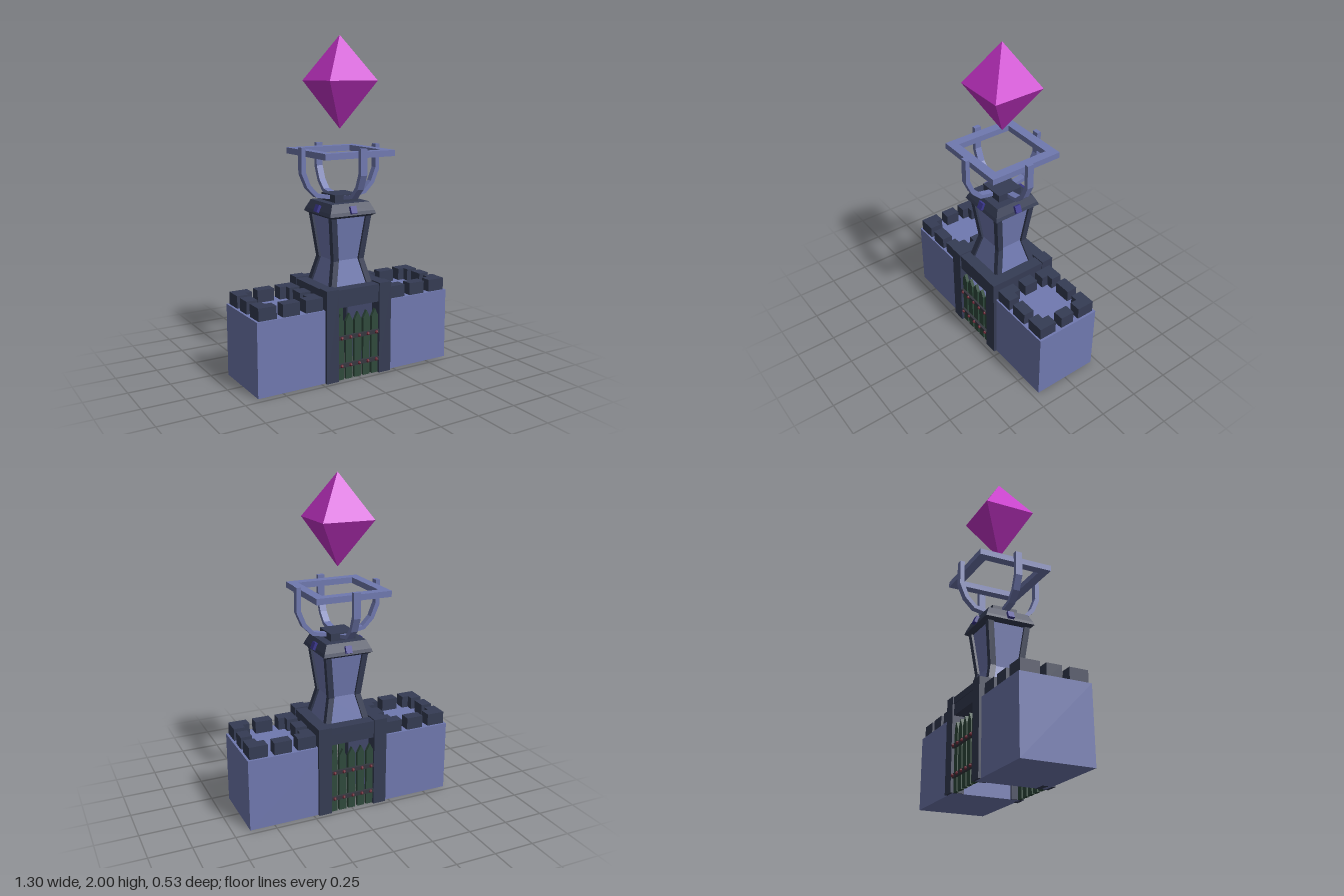
import * as THREE from 'three';

const mat = (color) => new THREE.MeshStandardMaterial({ color, flatShading: true });
const stone = mat(0x7079b0), dark = mat(0x353c54), wood = mat(0x2f4a3c),
  railMat = mat(0x35373f), rivetMat = mat(0x6e2a38), studMat = mat(0x3c3890), crystalMat = mat(0xc934cc);

function add(parent, name, geometry, material) {
  const mesh = new THREE.Mesh(geometry, material);
  mesh.name = name;
  parent.add(mesh);
  return mesh;
}

// Box given by its limits on each axis
function box(parent, name, material, x0, x1, y0, y1, z0, z1) {
  const g = new THREE.BoxGeometry(x1 - x0, y1 - y0, z1 - z0);
  g.translate((x0 + x1) / 2, (y0 + y1) / 2, (z0 + z1) / 2);
  return add(parent, name, g, material);
}

// Square solid of revolution from [halfWidth, y] pairs, bottom to top
function squareLoft(profile) {
  const pts = profile.map(([h, y]) => new THREE.Vector2(h * Math.SQRT2, y));
  return new THREE.LatheGeometry(pts, 4).rotateY(Math.PI / 4);
}

function polygon(points) {
  return new THREE.Shape(points.map(([x, y]) => new THREE.Vector2(x, y)));
}

// L-shaped corner merlon; sx, sz point towards the outside of the corner
function cornerMerlon(parent, x, z, sx, sz) {
  const w = 0.112, t = 0.07;
  const p = [[0, 0], [w, 0], [w, t], [t, t], [t, w], [0, w]].map(([a, b]) => [x - sx * a, -(z - sz * b)]);
  const g = new THREE.ExtrudeGeometry(polygon(p), { depth: 0.085, bevelEnabled: false });
  g.rotateX(-Math.PI / 2).translate(0, 0.43, 0);
  add(parent, 'cornerMerlon', g, dark);
}

function makeWall(s) {
  const wall = new THREE.Group();
  wall.name = s > 0 ? 'leftWall' : 'rightWall';
  const span = (name, m, a, b, ...rest) => box(wall, name, m, Math.min(s * a, s * b), Math.max(s * a, s * b), ...rest);
  span('wallBlock', stone, 0.15, 0.652, 0, 0.44, -0.212, 0.208);
  for (const sz of [1, -1]) {
    cornerMerlon(wall, s * 0.638, sz * 0.198, s, sz);
    cornerMerlon(wall, s * 0.23, sz * 0.198, -s, sz);
    const z = sz * 0.165;
    span('merlon', dark, 0.38, 0.487, 0.43, 0.515, z - 0.034, z + 0.034);
  }
  span('outerMerlon', dark, 0.57, 0.638, 0.43, 0.515, -0.048, 0.042);
  span('innerMerlon', dark, 0.225, 0.297, 0.43, 0.515, -0.048, 0.042);
  return wall;
}

// Picket gate with two riveted rails, facing +z
function makeGate() {
  const gate = new THREE.Group();
  gate.name = 'gate';
  for (let i = -2; i <= 2; i++) {
    const x = i * 0.06;
    const shape = polygon([[-0.023, 0], [0.023, 0], [0.023, 0.355], [0, 0.4], [-0.023, 0.355]]);
    const g = new THREE.ExtrudeGeometry(shape, { depth: 0.02, bevelEnabled: false });
    add(gate, 'picket', g.translate(x, 0, 0.19), wood);
    for (const y of [0.09, 0.26]) {
      const rivet = add(gate, 'rivet', new THREE.SphereGeometry(0.011, 6, 4), rivetMat);
      rivet.position.set(x, y, 0.226);
    }
  }
  for (const y of [0.09, 0.26])
    box(gate, 'rail', railMat, -0.145, 0.145, y - 0.012, y + 0.012, 0.208, 0.224);
  return gate;
}

// Four posts joined by beams, with a sunken roof floor
function makeGatehouse() {
  const house = new THREE.Group();
  house.name = 'gatehouse';
  for (const sx of [1, -1]) {
    for (const sz of [1, -1]) {
      const g = new THREE.BoxGeometry(0.082, 0.557, 0.08);
      add(house, 'post', g, dark).position.set(sx * 0.181, 0.2785, sz * 0.187);
    }
    box(house, 'sideBeam', dark, sx * 0.182 - 0.036, sx * 0.182 + 0.036, 0.44, 0.55, -0.15, 0.15);
    box(house, 'lintel', dark, -0.142, 0.142, 0.442, 0.512, sx * 0.182 - 0.035, sx * 0.182 + 0.035);
    box(house, 'upperBeam', dark, -0.142, 0.142, 0.51, 0.55, sx * 0.186 - 0.035, sx * 0.186 + 0.035);
  }
  box(house, 'roofFloor', dark, -0.15, 0.15, 0.455, 0.525, -0.155, 0.155);
  for (let i = 0; i < 2; i++) {
    const gate = makeGate();
    gate.rotation.y = i * Math.PI;
    house.add(gate);
  }
  return house;
}

// Waisted tower: pale core framed by dark corner ribs
function makeTower() {
  const tower = new THREE.Group();
  tower.name = 'tower';
  const levels = [[0.146, 0.52], [0.105, 0.69], [0.137, 0.96]];
  add(tower, 'towerCore', squareLoft(levels.map(([h, y]) => [h - 0.014, y])), stone);
  for (let k = 0; k < 4; k++) {
    const g = new THREE.BoxGeometry(1, 2, 1, 1, 2, 1), p = g.attributes.position;
    for (let i = 0; i < p.count; i++) {
      const [h, y] = levels[Math.round(p.getY(i)) + 1];
      p.setXYZ(i, h - (p.getX(i) > 0 ? 0 : 0.036), y, h - (p.getZ(i) > 0 ? 0 : 0.036));
    }
    add(tower, 'cornerRib', g, dark).rotation.y = k * Math.PI / 2;
  }
  const head = [[0, 0.95], [0.135, 0.95], [0.157, 0.965], [0.15, 0.985], [0.127, 1.035], [0, 1.035]];
  add(tower, 'towerHead', squareLoft(head), dark);
  box(tower, 'cap', dark, -0.08, 0.08, 1.03, 1.08, -0.08, 0.08);
  for (let k = 0; k < 4; k++) {
    const side = new THREE.Group();
    side.name = 'headSide';
    side.rotation.y = k * Math.PI / 2;
    const stud = add(side, 'stud', new THREE.BoxGeometry(0.04, 0.045, 0.03), studMat);
    stud.position.set(0, 0.995, 0.148);
    stud.rotation.x = -0.4;
    tower.add(side);
  }
  return tower;
}

// Four curved arms holding a square ring
function makeCradle() {
  const cradle = new THREE.Group();
  cradle.name = 'cradle';
  const arm = polygon([[0.06, 1.05], [0.085, 1.05], [0.17, 1.066], [0.23, 1.125], [0.267, 1.21], [0.267, 1.362],
    [0.24, 1.362], [0.24, 1.22], [0.208, 1.14], [0.157, 1.087], [0.085, 1.073], [0.06, 1.073]]);
  for (let k = 0; k < 4; k++) {
    const g = new THREE.ExtrudeGeometry(arm, { depth: 0.042, bevelEnabled: false });
    add(cradle, 'arm', g.translate(0, 0, -0.021), stone).rotation.y = k * Math.PI / 2;
  }
  const square = (h) => [[-h, -h], [h, -h], [h, h], [-h, h]];
  const ring = polygon(square(0.242));
  ring.holes.push(polygon(square(0.183)));
  const rg = new THREE.ExtrudeGeometry(ring, { depth: 0.036, bevelEnabled: false });
  add(cradle, 'ring', rg.rotateX(-Math.PI / 2).translate(0, 1.307, 0), stone).scale.set(0.965, 1, 0.965);
  return cradle;
}

export function createModel() {
  const model = new THREE.Group();
  model.name = 'gateTower';
  model.add(makeWall(1), makeWall(-1), makeGatehouse(), makeTower(), makeCradle());
  add(model, 'crystal', squareLoft([[0, 1.46], [0.16, 1.74], [0, 2]]), crystalMat);
  model.position.x = -0.002;
  return model;
}
